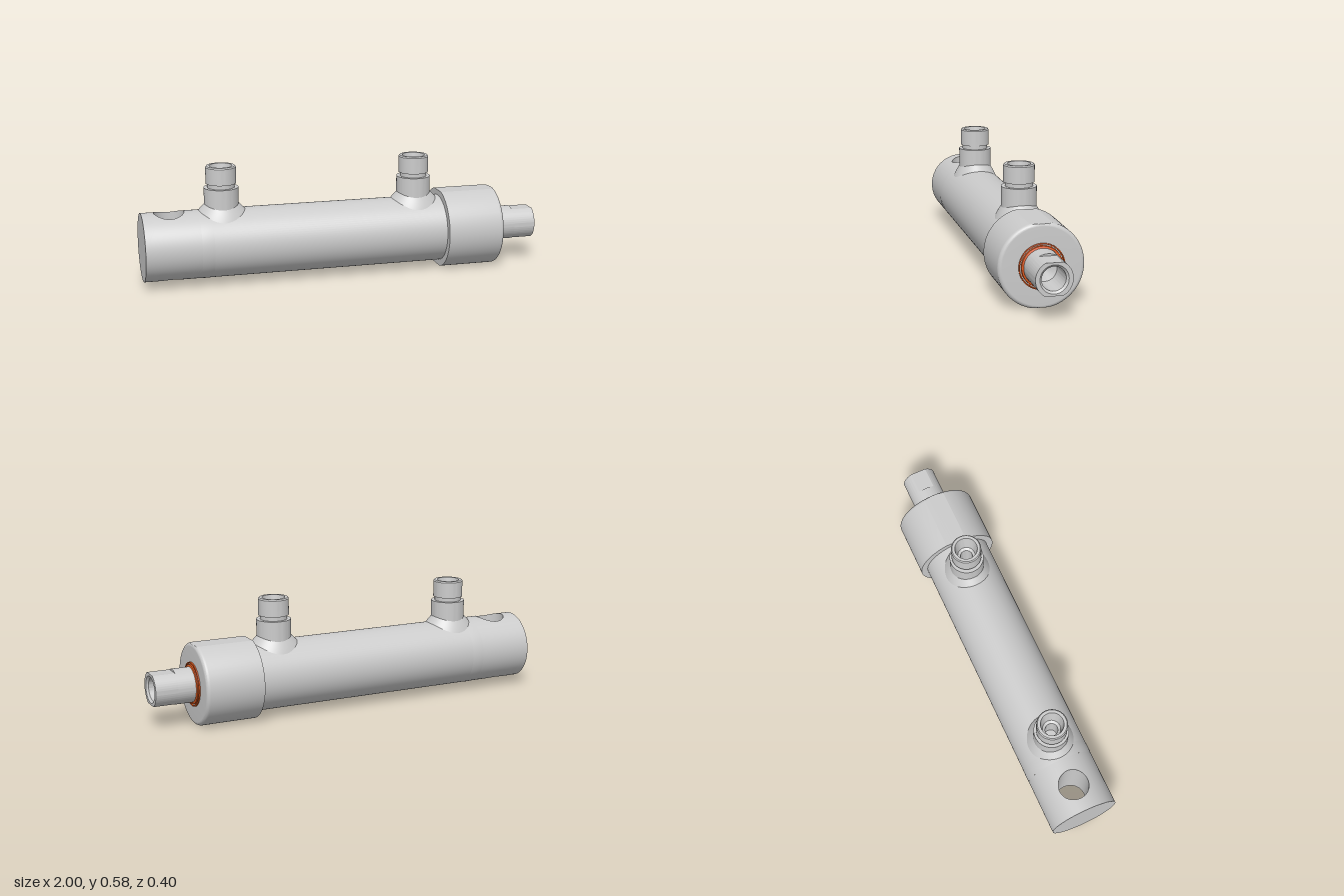
import * as THREE from 'three';
import { toCreasedNormals } from 'three/addons/utils/BufferGeometryUtils.js';
import { ParametricGeometry } from 'three/addons/geometries/ParametricGeometry.js';

const AXIS_Y = 0.193; // height of the cylinder axis
const R = 0.167; // barrel radius
const PIN_X = -0.865, PIN_R = 0.073; // cross hole for the pin
const CAP_END = -0.73;
const { lerp } = THREE.MathUtils;

const grey = new THREE.MeshStandardMaterial({ color: 0xcccccc });
const orange = new THREE.MeshStandardMaterial({ color: 0xe05a1e });

function add(parent, name, geometry, material = grey) {
  const mesh = new THREE.Mesh(geometry, material);
  mesh.name = name;
  parent.add(mesh);
  return mesh;
}

// Profile of [radius, height] pairs turned around y
function turned(points, segments = 96) {
  return new THREE.LatheGeometry(points.map(([r, h]) => new THREE.Vector2(r, h)), segments);
}

// The same, laid along x, with sharp edges kept
function turnedX(points, crease = 0.4) {
  return toCreasedNormals(turned(points).rotateZ(-Math.PI / 2), crease);
}

function surface(fn, slices, stacks) {
  return new ParametricGeometry((u, v, p) => fn(u * Math.PI * 2, v, p), slices, stacks);
}

// Half of the end cap's skin, blending from the round hole to the half cylinder's border
function capSkin() {
  return surface((t, v, p) => {
    const c = Math.cos(t), s = Math.sin(t), m = Math.max(Math.abs(c), Math.abs(s));
    const borderX = c > 0 ? CAP_END - PIN_X : PIN_X + 1;
    const x = PIN_X + lerp(PIN_R * c, borderX * c / m, v);
    const a = lerp(Math.asin(PIN_R * s / R), Math.PI / 2 * s / m, v);
    p.set(x, R * Math.cos(a), R * Math.sin(a));
  }, 96, 16);
}

// Wall of the pin hole, ending on the curved skin
function pinHoleWall() {
  return surface((t, v, p) => {
    const z = PIN_R * Math.sin(t);
    p.set(PIN_X + PIN_R * Math.cos(t), (2 * v - 1) * Math.sqrt(R * R - z * z), z);
  }, 96, 2);
}

// Fillet weld that saddles the barrel around a port
function portWeld() {
  return surface((t, v, p) => {
    const r = lerp(0.082, 0.114, v), rad = lerp(0.2, R - 0.001, v);
    const z = r * Math.sin(t);
    p.set(r * Math.cos(t), Math.sqrt(rad * rad - z * z), z);
  }, 64, 4);
}

function makePort(name, x) {
  const port = new THREE.Group();
  port.name = name;
  port.position.x = x;
  add(port, 'portFitting', toCreasedNormals(turned([
    [0.084, 0.12], [0.084, 0.277], [0.066, 0.277], [0.066, 0.297], [0.074, 0.297],
    [0.074, 0.377], [0.069, 0.383], [0.055, 0.383], [0.043, 0.3], [0.03, 0.29],
    [0.03, 0.18], [0, 0.18],
  ], 64), 0.4));
  add(port, 'portWeld', portWeld());
  return port;
}

// Gland: turned with a rounded front edge, then cut flat at top and bottom
function glandGeometry() {
  const points = [[0.15, 0.5], [0.2, 0.5]];
  const f = 0.018;
  for (let i = 0; i <= 10; i++) {
    const a = i / 10 * Math.PI / 2;
    points.push([0.2 - f + f * Math.cos(a), 0.79 - f + f * Math.sin(a)]);
  }
  points.push([0.08, 0.79]);
  const geometry = turned(points).rotateZ(-Math.PI / 2);
  const pos = geometry.attributes.position;
  for (let i = 0; i < pos.count; i++) {
    pos.setY(i, THREE.MathUtils.clamp(pos.getY(i), -AXIS_Y, AXIS_Y));
  }
  return toCreasedNormals(geometry, 0.2);
}

// Rod end with two wrench flats and a round opening
function rodEndGeometry() {
  const a = Math.asin(0.075 / 0.085);
  const shape = new THREE.Shape();
  shape.absarc(0, 0, 0.085, -a, a, false);
  shape.absarc(0, 0, 0.085, Math.PI - a, Math.PI + a, false);
  shape.closePath();
  const hole = new THREE.Path();
  hole.absarc(0, 0, 0.065, 0, Math.PI * 2, true);
  shape.holes.push(hole);
  const geometry = new THREE.ExtrudeGeometry(shape, { depth: 0.11, bevelEnabled: false, curveSegments: 48 });
  geometry.rotateY(Math.PI / 2).translate(0.89, 0, 0);
  return toCreasedNormals(geometry, 0.3);
}

export function createModel() {
  const model = new THREE.Group();
  model.name = 'hydraulicCylinder';
  const body = new THREE.Group();
  body.name = 'cylinderBody';
  body.position.y = AXIS_Y;
  model.add(body);

  // Closed end with the pin hole
  add(body, 'endCapTop', capSkin());
  add(body, 'endCapBottom', capSkin().rotateX(Math.PI));
  add(body, 'pinHole', pinHoleWall());
  add(body, 'endFace', new THREE.CircleGeometry(R, 96).rotateY(-Math.PI / 2).translate(-1, 0, 0));

  // Barrel with its weld band
  add(body, 'weldBand', turnedX([[R, CAP_END], [R + 0.001, -0.7], [R, -0.67]]));
  add(body, 'barrel', turnedX([[R, -0.67], [R, 0.51]]));

  // Ports
  body.add(makePort('rearPort', -0.608), makePort('frontPort', 0.368));

  // Gland and wiper seal
  add(body, 'gland', glandGeometry());
  add(body, 'wiperSeal', turnedX([
    [0.107, 0.78], [0.107, 0.796], [0.102, 0.798], [0.101, 0.79], [0.096, 0.79],
    [0.095, 0.8], [0.086, 0.803], [0.085, 0.78],
  ]), orange);

  // Rod with bored end
  add(body, 'rod', turnedX([[0.085, 0.75], [0.085, 0.89], [0.06, 0.89]]));
  add(body, 'rodEnd', rodEndGeometry());
  add(body, 'rodBore', turnedX([[0.065, 1], [0.055, 0.99], [0.055, 0.84], [0, 0.82]]));

  return model;
}
